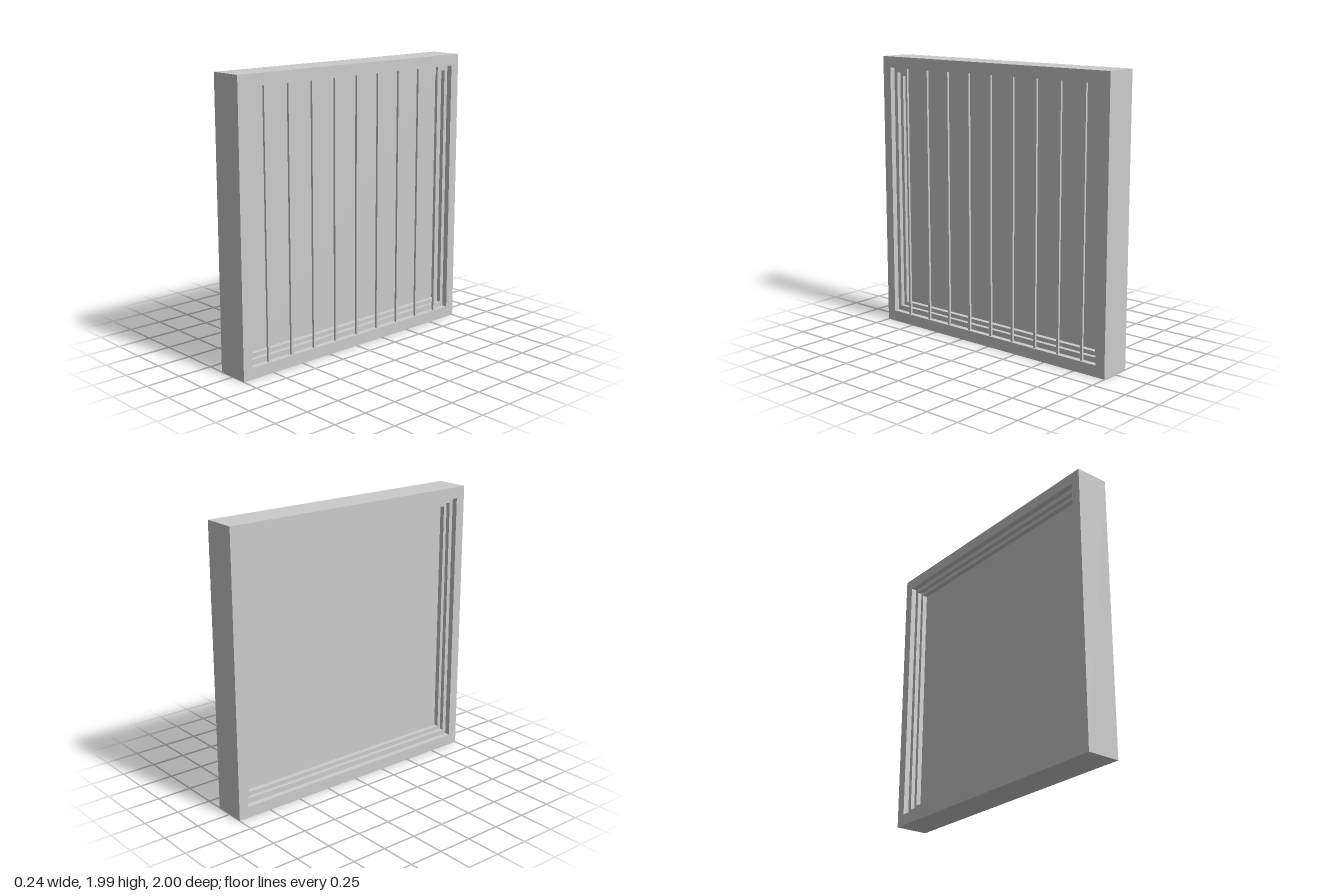
import * as THREE from 'three';

const material = new THREE.MeshStandardMaterial({ color: 0xcccccc, flatShading: true });

// Half width in z, bottom and top of each nested rectangle
const OUTER = { half: 1.0, y0: 0, y1: 1.99 };
const OPENING = { half: 0.93, y0: 0.08, y1: 1.91 };
const SASH = { half: 0.9, y0: 0.116, y1: 1.876 };
const PANE = { half: 0.874, y0: 0.144, y1: 1.848 };

function trace(path, r) {
  path.moveTo(-r.half, r.y0);
  path.lineTo(r.half, r.y0);
  path.lineTo(r.half, r.y1);
  path.lineTo(-r.half, r.y1);
  path.closePath();
  return path;
}

// Rectangular ring lying in the zy plane, centred on x = 0
function ring(name, outer, inner, depth) {
  const shape = trace(new THREE.Shape(), outer);
  shape.holes.push(trace(new THREE.Path(), inner));
  const geometry = new THREE.ExtrudeGeometry(shape, { depth, bevelEnabled: false });
  geometry.translate(0, 0, -depth / 2).rotateY(Math.PI / 2);
  const mesh = new THREE.Mesh(geometry, material);
  mesh.name = name;
  return mesh;
}

function box(name, w, d, r, x, z) {
  const mesh = new THREE.Mesh(new THREE.BoxGeometry(w, r.y1 - r.y0, d), material);
  mesh.position.set(x, (r.y0 + r.y1) / 2, z);
  mesh.name = name;
  return mesh;
}

export function createModel() {
  const group = new THREE.Group();
  group.name = 'barredWindow';

  // Frame stepping inward on both sides to the pane
  group.add(ring('outerFrame', OUTER, OPENING, 0.24));
  group.add(ring('sash', OPENING, SASH, 0.16));
  group.add(ring('glazingBead', SASH, PANE, 0.1));
  group.add(box('pane', 0.03, PANE.half * 2, PANE, 0, 0));

  // Vertical security bars on one side only
  const bars = new THREE.Group();
  bars.name = 'bars';
  for (let i = 0; i < 9; i++) {
    bars.add(box('bar', 0.016, 0.016, OPENING, 0.102, 0.78 - i * 0.198));
  }
  group.add(bars);
  return group;
}
